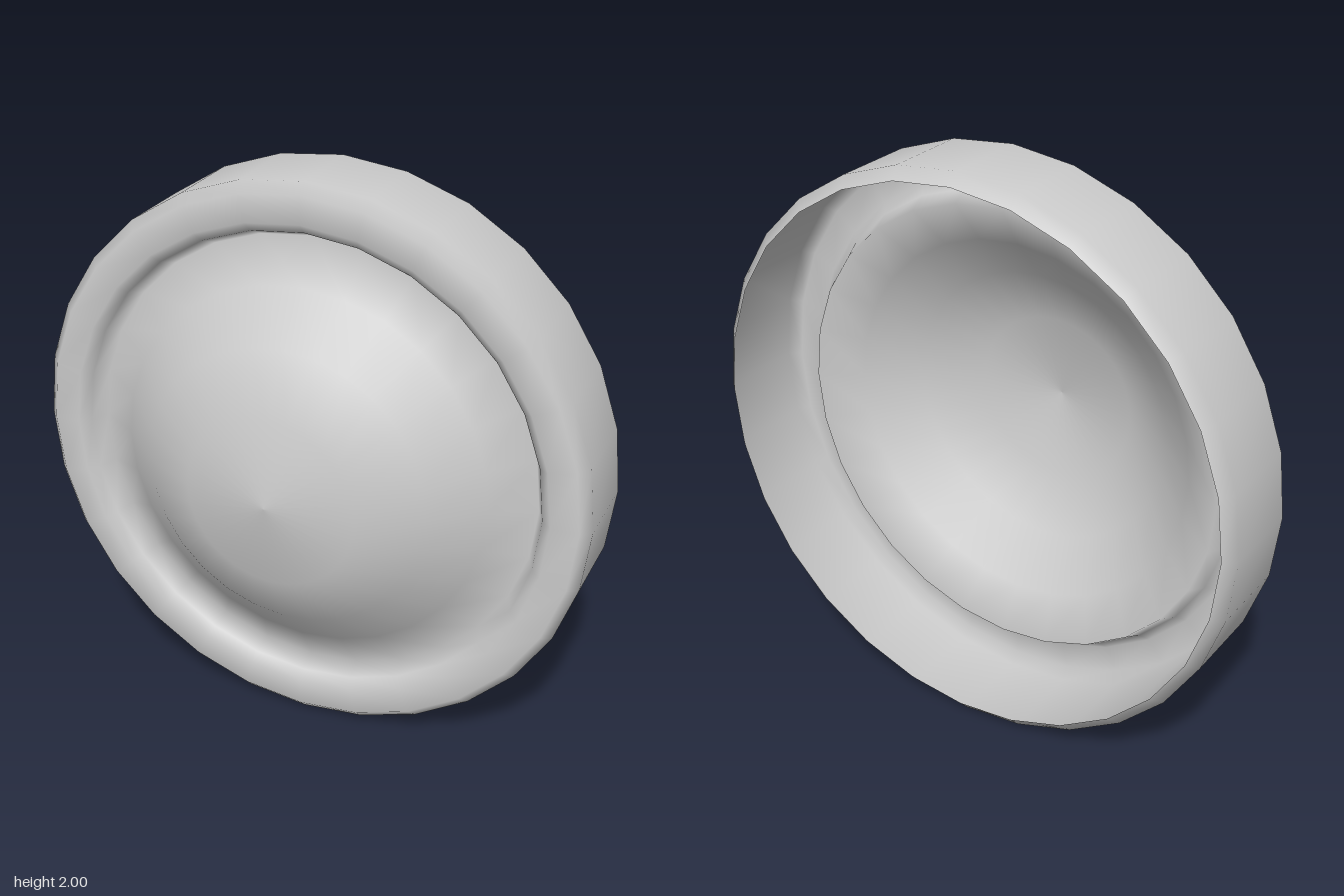
import * as THREE from 'three';

// Open-backed round cap: domed centre, groove and raised rim turned as one thin shell
export function createModel() {
  const group = new THREE.Group();
  const material = new THREE.MeshStandardMaterial({ color: 0xcccccc, side: THREE.DoubleSide });

  // Profile as (radius, depth), from the open back edge to the dome centre
  const profile = [
    [0.96, -0.32], [1, -0.285], // back lip
    [1, 0.01], [0.965, 0.045], // outer wall and front chamfer
    [0.87, 0.045], [0.835, 0.015], // rim face and inner edge
    [0.805, -0.05], // groove
    [0.66, 0.035], [0.5, 0.175], [0.3, 0.28], [0, 0.32], // dome
  ].map(([r, z]) => new THREE.Vector2(r, z));

  // Turn the lathe axis to face the front
  const geometry = new THREE.LatheGeometry(profile, 28).rotateX(Math.PI / 2);
  const shell = new THREE.Mesh(geometry, material);
  shell.name = 'domedCap';
  shell.position.y = 1;
  group.add(shell);
  return group;
}
